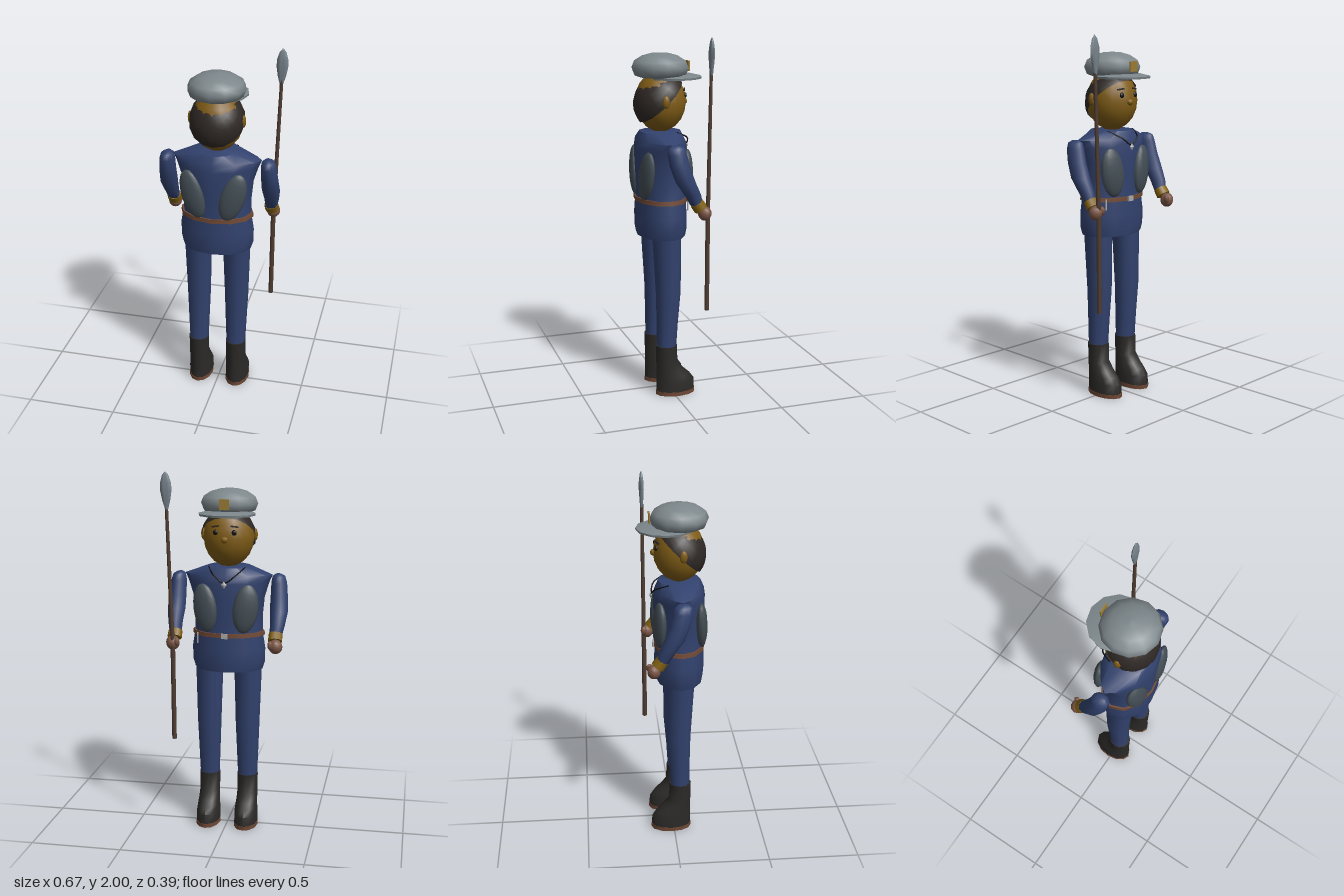
import * as THREE from 'three';
import { toCreasedNormals } from 'three/addons/utils/BufferGeometryUtils.js';

const mat = (color) => new THREE.MeshStandardMaterial({ color, side: THREE.DoubleSide });
const M = {
  cloth: mat(0x32426e), cap: mat(0x7d878b), skin: mat(0x7f5c16), hand: mat(0x7a5544),
  hair: mat(0x2e2825), boot: mat(0x2b2a28), pad: mat(0x434e55), leather: mat(0x704935),
  wood: mat(0x503d32), blade: mat(0x76828a), gold: mat(0x9a7a35), cuff: mat(0x80600f),
  black: mat(0x101010), metal: mat(0xa8a8a8),
};

const V = (x, y, z) => new THREE.Vector3(x, y, z);

function add(parent, name, geometry, material, x = 0, y = 0, z = 0) {
  const mesh = new THREE.Mesh(geometry, material);
  mesh.name = name;
  mesh.position.set(x, y, z);
  parent.add(mesh);
  return mesh;
}

// Closed body through horizontal rings, bottom to top: [y, rx, rz, cx, cz, pinch]
function loft(rings, n = 12, crease = 0.9) {
  const pos = [], idx = [];
  for (const [y, rx, rz, cx = 0, cz = 0, pinch = 1] of rings) {
    for (let j = 0; j < n; j++) {
      const a = (j / n) * Math.PI * 2, s = Math.sin(a);
      pos.push(cx + rx * Math.cos(a), y, cz + rz * Math.sign(s) * Math.abs(s) ** pinch);
    }
  }
  const top = rings.length - 1, c = (top + 1) * n;
  for (const r of [rings[0], rings[top]]) pos.push(r[3] || 0, r[0], r[4] || 0);
  for (let j = 0; j < n; j++) {
    const k = (j + 1) % n;
    for (let i = 0; i < top; i++) {
      const a = i * n + j, b = i * n + k;
      idx.push(a, a + n, b, b, a + n, b + n);
    }
    idx.push(c, j, k, c + 1, top * n + k, top * n + j);
  }
  const g = new THREE.BufferGeometry();
  g.setAttribute('position', new THREE.Float32BufferAttribute(pos, 3));
  g.setIndex(idx);
  return toCreasedNormals(g, crease);
}

const ball = (rx, ry, rz, n = 12) => new THREE.SphereGeometry(1, n, 10).scale(rx, ry, rz);

// Round rod between two points
function rod(parent, name, a, b, ra, rb, material, n = 8) {
  const d = b.clone().sub(a);
  const mesh = add(parent, name, new THREE.CylinderGeometry(rb, ra, d.length(), n), material);
  mesh.position.copy(a).addScaledVector(d, 0.5);
  mesh.quaternion.setFromUnitVectors(V(0, 1, 0), d.normalize());
  return mesh;
}

function buildHead(root) {
  const head = new THREE.Group();
  head.name = 'head';
  root.add(head);
  add(head, 'face', ball(0.14, 0.165, 0.138, 16), M.skin, 0, 1.645, 0.035);

  // Hair shell: half a sphere tipped towards the back
  const hair = add(head, 'hair', new THREE.SphereGeometry(1, 16, 8, 0, Math.PI * 2, 0, Math.PI / 2)
    .scale(0.15, 0.147, 0.165).rotateX(0.73), M.hair, 0, 1.645, 0.036);
  hair.scale.z = 0.93;
  add(head, 'nose', ball(0.019, 0.018, 0.018, 8), M.skin, 0, 1.64, -0.1);
  for (const s of [-1, 1]) {
    add(head, 'ear', ball(0.014, 0.034, 0.021, 8), M.skin, s * 0.143, 1.655, 0.048);
    add(head, 'eye', ball(0.014, 0.015, 0.01, 8), M.black, s * 0.05, 1.678, -0.088);
    const brow = add(head, 'eyebrow', new THREE.BoxGeometry(0.04, 0.008, 0.01), M.hair, s * 0.052, 1.71, -0.083);
    brow.rotation.set(0, s * -0.35, s * -0.15);
  }

  // Cap: puffy crown, flat round brim and badge
  const profile = [[0, 0], [0.11, 0], [0.142, 0.012], [0.157, 0.05], [0.142, 0.085], [0.1, 0.112], [0.05, 0.126], [0, 0.13]]
    .map((p) => new THREE.Vector2(...p));
  add(head, 'capCrown', new THREE.LatheGeometry(profile, 12), M.cap, -0.003, 1.775, 0.036);
  add(head, 'capBrim', loft([[1.762, 0.1, 0.1, -0.003, -0.04], [1.766, 0.153, 0.153, -0.003, -0.04],
    [1.777, 0.155, 0.155, -0.003, -0.04], [1.79, 0.1, 0.1, -0.003, -0.04]]), M.cap);
  add(head, 'capBadge', new THREE.BoxGeometry(0.053, 0.055, 0.008), M.gold, -0.003, 1.83, -0.122);
}

function buildTorso(root) {
  const Z = 0.037;
  add(root, 'jacket', loft([
    [0.91, 0.19, 0.13, 0, Z], [0.95, 0.203, 0.137, 0, Z], [1.03, 0.205, 0.138, 0, Z],
    [1.12, 0.19, 0.133, 0, Z], [1.22, 0.19, 0.136, 0, Z], [1.32, 0.2, 0.14, 0, Z, 1.1],
    [1.4, 0.225, 0.14, 0, Z, 1.35], [1.44, 0.243, 0.134, 0, Z, 1.6], [1.485, 0.12, 0.115, 0, Z],
  ], 12, 1.1), M.cloth);
  add(root, 'belt', loft([[1.105, 0.203, 0.142, 0, Z], [1.128, 0.2, 0.142, 0, Z]]), M.leather);
  add(root, 'buckle', new THREE.BoxGeometry(0.036, 0.028, 0.01), M.metal, 0, 1.116, -0.106);
  add(root, 'beltHook', new THREE.BoxGeometry(0.008, 0.06, 0.008), M.metal, 0.155, 1.095, -0.07);

  // Padded plates on chest and back
  for (const s of [-1, 1]) {
    const front = add(root, 'chestPad', ball(0.07, 0.135, 0.034), M.pad, s * 0.112, 1.265, -0.078);
    front.rotation.set(0, s * -0.25, s * -0.12);
    const back = add(root, 'backPad', ball(0.068, 0.14, 0.032), M.pad, s * 0.11, 1.257, 0.149);
    back.rotation.set(0, s * 0.2, s * -0.28);
  }

  // Neck cord with a small pendant
  const cord = new THREE.CatmullRomCurve3([V(-0.1, 1.485, -0.025), V(-0.06, 1.45, -0.098),
    V(0, 1.41, -0.112), V(0.06, 1.45, -0.098), V(0.1, 1.485, -0.025)]);
  add(root, 'neckCord', new THREE.TubeGeometry(cord, 16, 0.004, 5), M.black);
  add(root, 'pendant', new THREE.OctahedronGeometry(0.02).scale(0.8, 1, 0.4), M.metal, 0, 1.4, -0.116);
}

function buildArm(root, s) {
  const arm = new THREE.Group();
  arm.name = s > 0 ? 'leftArm' : 'rightArm';
  root.add(arm);
  add(arm, 'sleeve', loft([
    [1.12, 0.033, 0.034, s * 0.277, -0.078], [1.18, 0.041, 0.045, s * 0.283, -0.052],
    [1.25, 0.05, 0.053, s * 0.285, -0.012], [1.33, 0.047, 0.054, s * 0.282, 0.018],
    [1.4, 0.043, 0.052, s * 0.279, 0.033], [1.432, 0.035, 0.045, s * 0.277, 0.036],
    [1.445, 0.016, 0.025, s * 0.273, 0.036],
  ], 10, 1.2), M.cloth);
  rod(arm, 'cuff', V(s * 0.277, 1.135, -0.075), V(s * 0.278, 1.1, -0.1), 0.036, 0.038, M.cuff, 10).scale.x = 1.05;
  add(arm, 'hand', ball(0.038, 0.04, 0.036, 10), M.hand, s * 0.283, 1.075, -0.121);
  add(arm, 'thumb', ball(0.014, 0.024, 0.018, 8), M.hand, s * 0.256, 1.085, -0.141);
}

function buildLeg(root, s) {
  const leg = new THREE.Group(), x = s * 0.109;
  leg.name = s > 0 ? 'leftLeg' : 'rightLeg';
  root.add(leg);
  add(leg, 'trouser', loft([[0.27, 0.055, 0.054, x, 0.036], [0.42, 0.061, 0.059, x, 0.032],
    [0.6, 0.068, 0.069, x, 0.026], [0.93, 0.078, 0.08, x, 0.035]], 10), M.cloth);
  add(leg, 'boot', loft([
    [0.02, 0.067, 0.112, x, -0.016], [0.075, 0.067, 0.11, x, -0.015], [0.11, 0.063, 0.098, x, -0.002],
    [0.14, 0.06, 0.081, x, 0.014], [0.185, 0.058, 0.062, x, 0.034], [0.29, 0.059, 0.061, x, 0.037],
  ]), M.boot);
  add(leg, 'sole', loft([[0, 0.068, 0.114, x, -0.016], [0.022, 0.069, 0.115, x, -0.016]]), M.leather);
}

function buildSpear(root) {
  const spear = new THREE.Group();
  spear.name = 'spear';
  root.add(spear);
  rod(spear, 'lowerShaft', V(0.276, 0.53, -0.14), V(0.279, 1.07, -0.14), 0.013, 0.013, M.wood);
  rod(spear, 'upperShaft', V(0.279, 1.06, -0.14), V(0.304, 1.83, -0.142), 0.012, 0.009, M.wood);
  const blade = add(spear, 'blade', loft([[-0.1, 0.008, 0.008], [-0.05, 0.022, 0.011], [0, 0.031, 0.014],
    [0.04, 0.03, 0.013], [0.08, 0.018, 0.008], [0.1, 0.002, 0.002]], 10, 1.2), M.blade, 0.305, 1.9, -0.143);
  blade.rotation.z = -0.03;
}

export function createModel() {
  const root = new THREE.Group();
  root.name = 'uniformedGuard';
  buildHead(root);
  buildTorso(root);
  for (const s of [-1, 1]) {
    buildArm(root, s);
    buildLeg(root, s);
  }
  buildSpear(root);
  return root;
}
